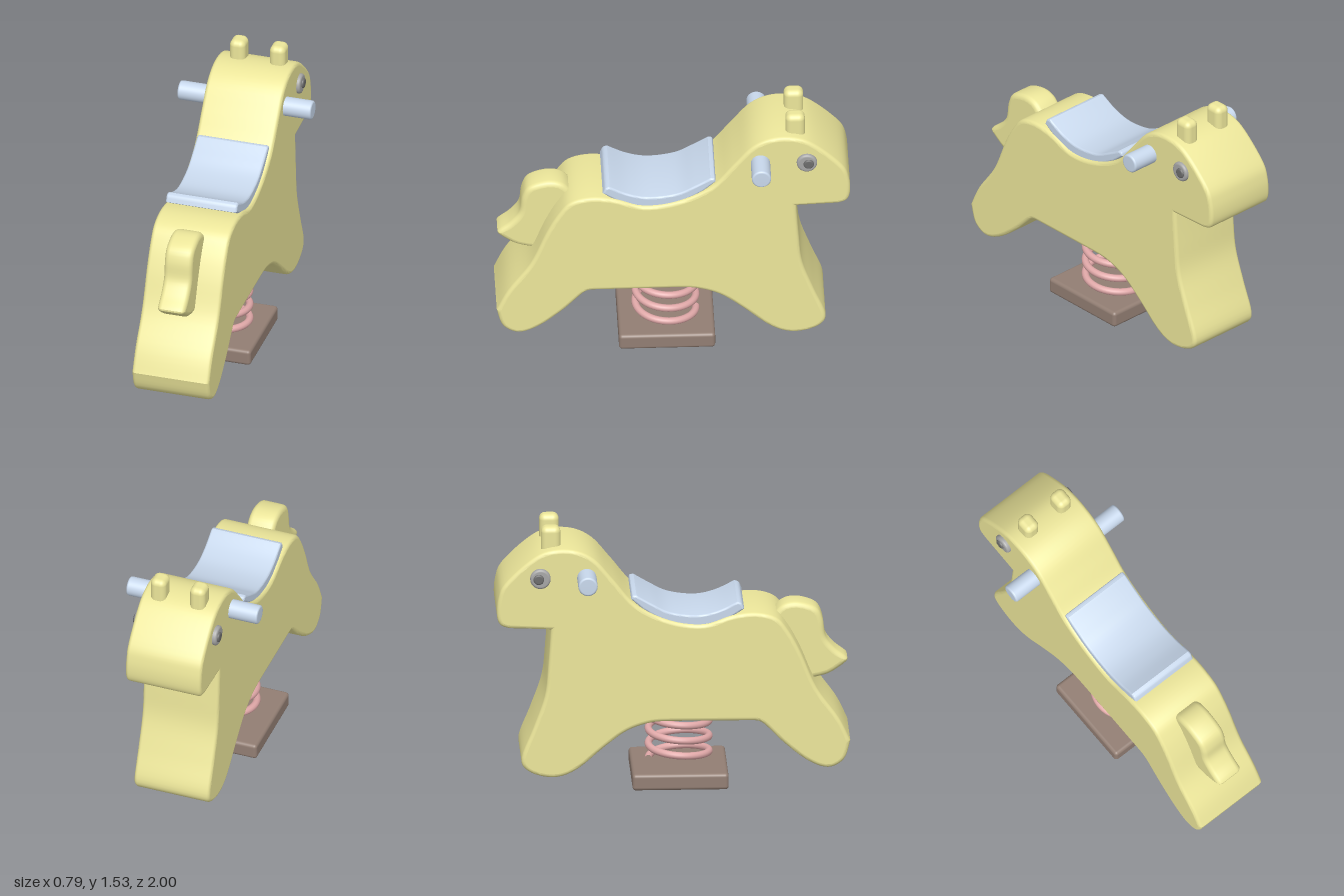
import * as THREE from 'three';
import { toCreasedNormals } from 'three/addons/utils/BufferGeometryUtils.js';
import { RoundedBoxGeometry } from 'three/addons/geometries/RoundedBoxGeometry.js';

const paint = (color) => new THREE.MeshStandardMaterial({ color });
const YELLOW = paint(0xece69a);
const BLUE = paint(0xc8d8ec);
const PINK = paint(0xe0a8a8);
const BROWN = paint(0x927e73);
const GREY = paint(0xa6a6a6);
const DARK = paint(0x6c6c6c);

function mesh(name, geometry, material, x = 0, y = 0, z = 0) {
  const m = new THREE.Mesh(geometry, material);
  m.name = name;
  m.position.set(x, y, z);
  return m;
}

// Joins smooth runs of [forward, up] points; corners between runs stay sharp
function outline(runs) {
  const pts = [];
  for (const run of runs) {
    const v = run.map(([a, b]) => new THREE.Vector2(a, b));
    const n = v.length > 2 ? (v.length - 1) * 5 : 1;
    const p = new THREE.SplineCurve(v).getPoints(n);
    if (pts.length) p.shift();
    pts.push(...p);
  }
  if (pts[0].distanceTo(pts[pts.length - 1]) < 1e-4) pts.pop();
  return new THREE.Shape(pts);
}

// Side profile extruded across x with rounded edges; forward is -z
function slab(runs, width, bevel) {
  const flat = new THREE.ExtrudeGeometry(outline(runs), {
    depth: width - 2 * bevel, bevelEnabled: true, bevelThickness: bevel,
    bevelSize: bevel, bevelOffset: -bevel, bevelSegments: 4,
  });
  flat.translate(0, 0, bevel - width / 2);
  const g = toCreasedNormals(flat, 0.5);
  // keep the flat side faces evenly shaded
  const caps = flat.groups[0];
  for (let i = caps.start; i < caps.start + caps.count; i++) {
    g.attributes.normal.setXYZ(i, 0, 0, Math.sign(flat.attributes.normal.getZ(i)));
  }
  g.clearGroups();
  return g.rotateY(Math.PI / 2);
}

// Cylinder across x with rounded rims
function rod(radius, length, rim) {
  const pts = [new THREE.Vector2(0, -length / 2)];
  for (const s of [-1, 1]) {
    for (let i = 0; i <= 4; i++) {
      const a = s < 0 ? -Math.PI / 2 + i * Math.PI / 8 : i * Math.PI / 8;
      pts.push(new THREE.Vector2(radius - rim + rim * Math.cos(a), s * (length / 2 - rim) + rim * Math.sin(a)));
    }
  }
  pts.push(new THREE.Vector2(0, length / 2));
  return new THREE.LatheGeometry(pts, 40).rotateZ(Math.PI / 2);
}

class Helix extends THREE.Curve {
  constructor(radius, y0, pitch, turns) {
    super();
    Object.assign(this, { radius, y0, pitch, turns });
  }
  getPoint(t, target = new THREE.Vector3()) {
    const a = t * this.turns * Math.PI * 2;
    return target.set(this.radius * Math.sin(a), this.y0 + t * this.turns * this.pitch, -this.radius * Math.cos(a));
  }
}

export function createModel() {
  const group = new THREE.Group();

  // Body: back, neck and head, then chest, legs and belly
  const body = [
    [[-1, 0.265], [-0.935, 0.4], [-0.81, 0.58], [-0.72, 0.79], [-0.65, 0.92], [-0.58, 1.0], [-0.465, 1.03],
      [-0.33, 1.015], [-0.17, 0.965], [0.02, 0.99], [0.21, 1.085], [0.34, 1.235], [0.45, 1.36], [0.57, 1.415],
      [0.71, 1.41], [0.82, 1.35], [0.955, 1.22], [0.993, 1.13], [1, 1.03], [0.98, 0.975], [0.93, 0.955]],
    [[0.93, 0.955], [0.695, 0.945]],
    [[0.695, 0.945], [0.71, 0.735], [0.73, 0.55], [0.795, 0.36], [0.86, 0.19], [0.835, 0.115], [0.74, 0.073],
      [0.635, 0.073], [0.53, 0.125], [0.39, 0.245], [0.26, 0.34], [0.125, 0.385], [0, 0.392]],
    [[0, 0.392], [-0.46, 0.39]],
    [[-0.46, 0.39], [-0.51, 0.37], [-0.625, 0.255], [-0.76, 0.148], [-0.875, 0.107], [-0.965, 0.155], [-1, 0.265]],
  ];
  group.add(mesh('body', slab(body, 0.455, 0.022), YELLOW, 0.002));

  // Tail, its inner edge buried in the rump
  const tail = [
    [[-0.96, 0.665], [-0.99, 0.705], [-0.92, 0.765], [-0.867, 0.835], [-0.85, 0.94], [-0.81, 1.01],
      [-0.705, 1.043], [-0.62, 1.025], [-0.56, 0.96]],
    [[-0.56, 0.96], [-0.62, 0.7]],
    [[-0.62, 0.7], [-0.77, 0.588]],
    [[-0.77, 0.588], [-0.88, 0.615], [-0.96, 0.665]],
  ];
  group.add(mesh('tail', slab(tail, 0.165, 0.03), YELLOW, 0.002));

  // Curved saddle
  const seat = [
    [[-0.4, 1.05], [-0.385, 1.083], [-0.36, 1.093]],
    [[-0.36, 1.093], [-0.25, 1.04], [-0.13, 1.016], [0.02, 1.036], [0.125, 1.088], [0.21, 1.138]],
    [[0.21, 1.138], [0.233, 1.135], [0.24, 1.115]],
    [[0.24, 1.115], [0.15, 1.04], [0.02, 0.975], [-0.13, 0.95], [-0.28, 0.98], [-0.4, 1.05]],
  ];
  group.add(mesh('seat', slab(seat, 0.42, 0.012), BLUE, 0.002));

  // Handlebar through the neck
  group.add(mesh('handlebar', rod(0.055, 0.79, 0.012), BLUE, -0.002, 1.252, -0.492));

  // Eyes and ears, one per side
  for (const s of [-1, 1]) {
    const side = s > 0 ? 'left' : 'right';
    group.add(mesh(side + 'Eye', rod(0.058, 0.06, 0.014), GREY, s * 0.22, 1.253, -0.755));
    group.add(mesh(side + 'Pupil', rod(0.03, 0.04, 0.01), DARK, s * 0.24, 1.253, -0.765));
    group.add(mesh(side + 'Ear', new RoundedBoxGeometry(0.092, 0.25, 0.11, 5, 0.034), YELLOW, 0.012 + s * 0.118, 1.405, -0.692));
  }

  // Coil spring and ground plate
  const coil = new Helix(0.172, 0.105, 0.09, 3.6);
  group.add(mesh('spring', new THREE.TubeGeometry(coil, 200, 0.021, 12), PINK, 0, 0, 0.037));
  group.add(mesh('base', new RoundedBoxGeometry(0.545, 0.095, 0.545, 4, 0.02), BROWN, -0.007, 0.0475, 0.037));

  return group;
}
